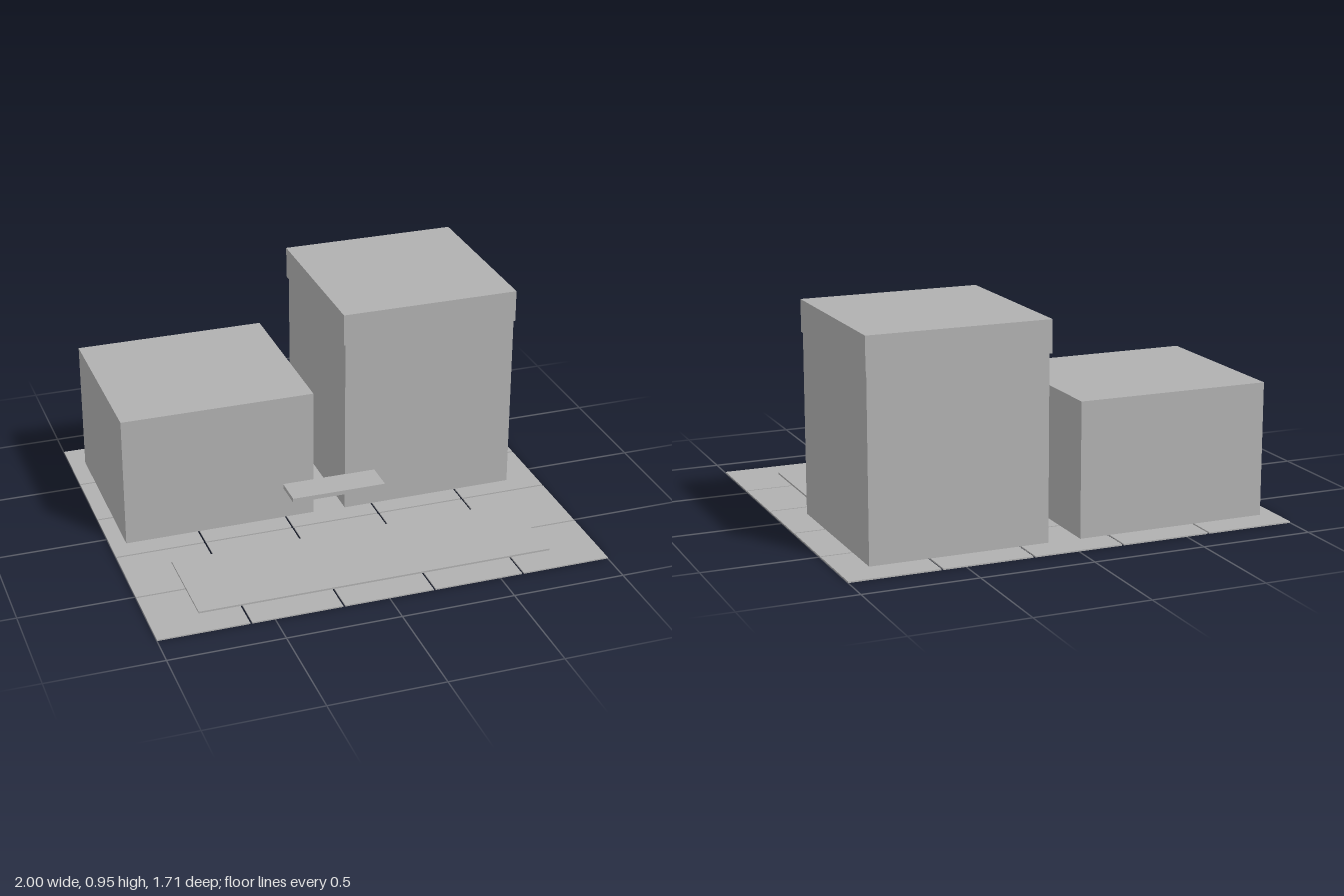
import * as THREE from 'three';

export function createModel() {
  const group = new THREE.Group();
  const grey = new THREE.MeshStandardMaterial({ color: 0xb0b0b0 });
  grey.name = 'plain grey';

  // Box given by its minimum and maximum on each axis
  const block = (name, [x0, x1], [y0, y1], [z0, z1]) => {
    const mesh = new THREE.Mesh(new THREE.BoxGeometry(x1 - x0, y1 - y0, z1 - z0), grey);
    mesh.position.set((x0 + x1) / 2, (y0 + y1) / 2, (z0 + z1) / 2);
    mesh.name = name;
    return mesh;
  };

  // Paving: five by five thin tiles with narrow joints
  const paving = new THREE.Group();
  paving.name = 'paving';
  const count = 5, joint = 0.009, width = 2, depth = 1.706, top = 0.006;
  const tileX = (width - joint * (count - 1)) / count;
  const tileZ = (depth - joint * (count - 1)) / count;
  for (let i = 0; i < count; i++) {
    for (let j = 0; j < count; j++) {
      const x = -width / 2 + i * (tileX + joint);
      const z = -depth / 2 + j * (tileZ + joint);
      paving.add(block('pavingTile', [x, x + tileX], [0, top], [z, z + tileZ]));
    }
  }
  group.add(paving);

  // Low forecourt slab in front of the buildings
  group.add(block('forecourtSlab', [-0.787, 0.787], [top, 0.014], [0.288, 0.717]));

  // Low building, and tall building with a slightly wider top band
  group.add(block('lowBuilding', [-0.93, -0.07], [top, 0.595], [-0.717, 0.069]));
  group.add(block('tallBuilding', [0.074, 0.862], [top, 0.81], [-0.712, 0.076]));
  group.add(block('tallBuildingTopBand', [0.065, 0.868], [0.81, 0.952], [-0.721, 0.081]));

  // Entrance canopy bridging the gap between the buildings
  group.add(block('entranceCanopy', [-0.213, 0.213], [0.155, 0.175], [0.074, 0.215]));

  return group;
}
